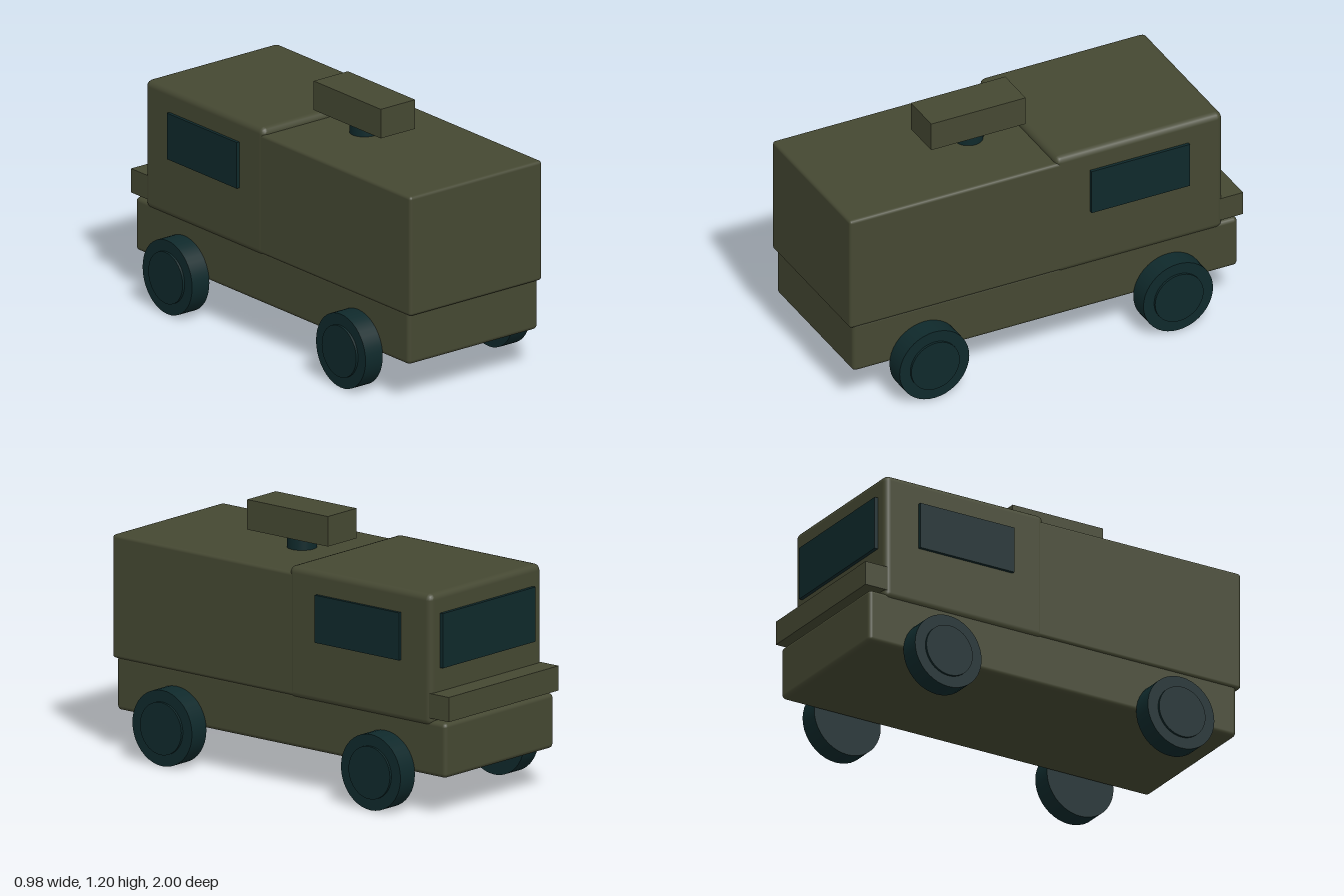
import * as THREE from 'three';
import { RoundedBoxGeometry } from 'three/addons/geometries/RoundedBoxGeometry.js';

export function createModel() {
  const model = new THREE.Group();
  model.name = 'armouredTruck';

  const olive = new THREE.MeshStandardMaterial({ color: 0x454832 });
  olive.name = 'olive paint';
  const dark = new THREE.MeshStandardMaterial({ color: 0x0f292b });
  dark.name = 'dark glass and rubber';

  const add = (name, geometry, material, x, y, z, parent = model) => {
    const mesh = new THREE.Mesh(geometry, material);
    mesh.name = name;
    mesh.position.set(x, y, z);
    parent.add(mesh);
    return mesh;
  };

  // Box given by its lower and upper corners, with an optional edge radius
  const block = (name, material, [x0, y0, z0], [x1, y1, z1], radius = 0) => {
    const size = [x1 - x0, y1 - y0, z1 - z0];
    const geometry = radius
      ? new RoundedBoxGeometry(...size, 2, radius)
      : new THREE.BoxGeometry(...size);
    return add(name, geometry, material, (x0 + x1) / 2, (y0 + y1) / 2, (z0 + z1) / 2);
  };

  // Hull: chassis, cargo body and taller cab at the -z end
  block('chassis', olive, [-0.378, 0.185, -0.977], [0.378, 0.44, 0.98], 0.02);
  block('cargoBody', olive, [-0.385, 0.425, -0.1], [0.385, 1.0, 1.0], 0.015);
  block('cab', olive, [-0.387, 0.415, -0.897], [0.387, 1.03, -0.05], 0.03);
  block('bumper', olive, [-0.382, 0.455, -1.0], [0.382, 0.57, -0.86]);

  // Windows
  block('windshield', dark, [-0.322, 0.68, -0.914], [0.322, 0.935, -0.89]);
  for (const side of [1, -1]) {
    const pane = block(side > 0 ? 'leftWindow' : 'rightWindow', dark,
      [-0.01, 0.7, -0.72], [0.01, 0.922, -0.22]);
    pane.position.x = side * 0.392;
  }

  // Roof turret
  add('turretNeck', new THREE.CylinderGeometry(0.068, 0.068, 0.08, 32), dark, 0, 1.03, 0.2);
  block('turretHead', olive, [-0.1, 1.06, -0.04], [0.1, 1.2, 0.44]);

  // Wheels: tyre with a slightly raised hub
  const tyre = new THREE.CylinderGeometry(0.177, 0.177, 0.1, 40).rotateZ(Math.PI / 2);
  const hub = new THREE.CylinderGeometry(0.123, 0.123, 0.1, 40).rotateZ(Math.PI / 2);
  for (const side of [1, -1]) {
    for (const z of [-0.62, 0.62]) {
      const wheel = new THREE.Group();
      wheel.name = (side > 0 ? 'left' : 'right') + (z < 0 ? 'CabWheel' : 'CargoWheel');
      wheel.position.set(side * 0.43, 0.177, z);
      add('tyre', tyre, dark, 0, 0, 0, wheel);
      add('hub', hub, dark, side * 0.011, 0, 0, wheel);
      model.add(wheel);
    }
  }

  return model;
}
